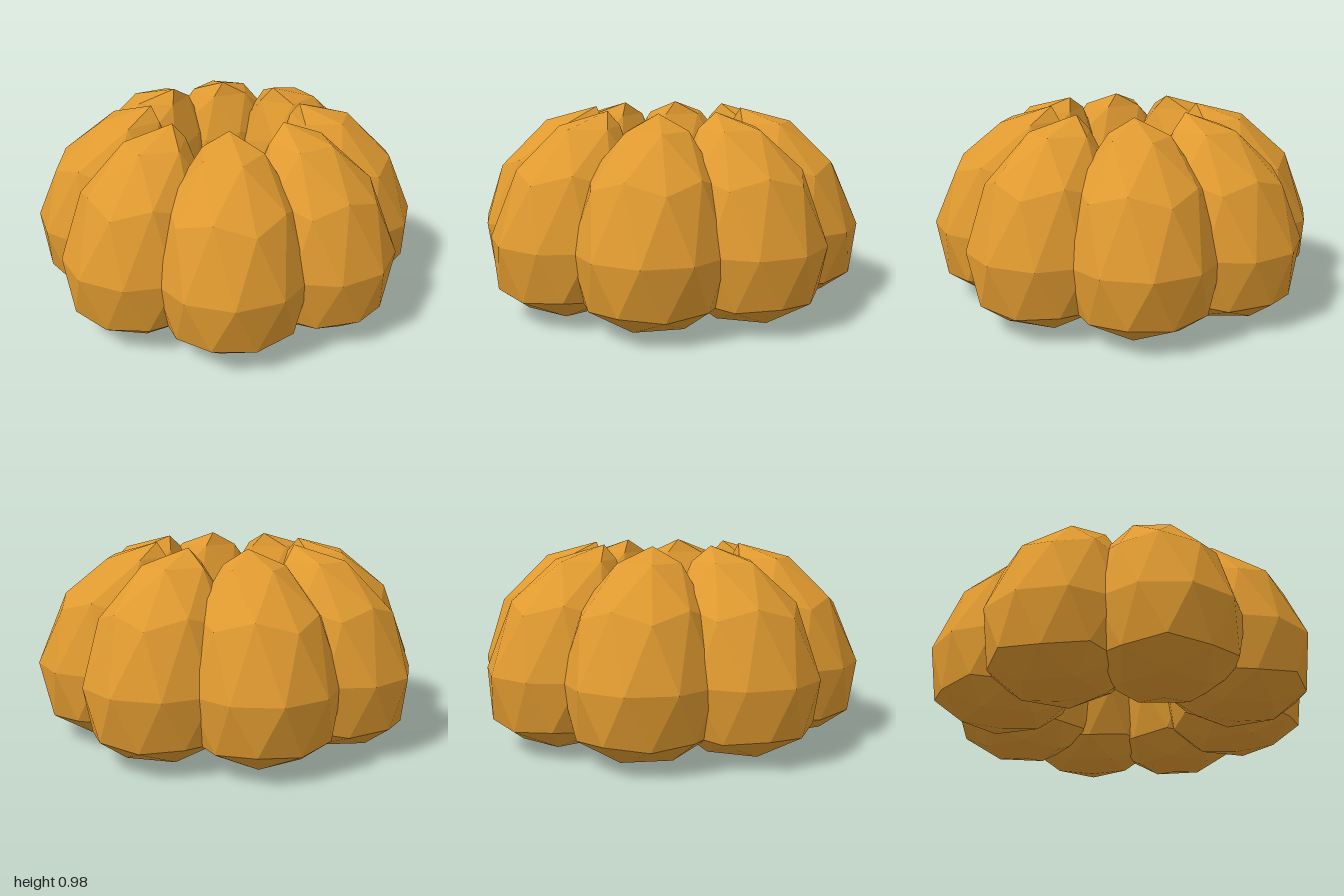
import * as THREE from 'three';

// Height and inward taper of a lobe, keyed by the unit sphere's own height.
const LEVELS = [
  // sphere y, final y, taper
  [-1, 0.0, 1.0],
  [-0.851, 0.04, 1.01],
  [-0.526, 0.13, 1.012],
  [-0.447, 0.15, 1.013],
  [0, 0.385, 1.0],
  [0.447, 0.675, 0.928],
  [0.526, 0.725, 0.912],
  [0.851, 0.915, 0.79],
  [1, 0.985, 0.613],
];

function levelAt(v) {
  let i = 1;
  while (i < LEVELS.length - 1 && v > LEVELS[i][0]) i++;
  const [a, b] = [LEVELS[i - 1], LEVELS[i]];
  const k = THREE.MathUtils.clamp((v - a[0]) / (b[0] - a[0]), 0, 1);
  return [a[1] + (b[1] - a[1]) * k, a[2] + (b[2] - a[2]) * k];
}

// One faceted lobe facing +z: a low-poly sphere, flattened below and
// drawn in towards the central axis above.
function lobeGeometry() {
  const radius = 0.38, ringRadius = 0.62;
  const geo = new THREE.IcosahedronGeometry(1, 1);
  geo.rotateX(-Math.atan((1 + Math.sqrt(5)) / 2)); // a corner points straight up
  geo.rotateY(Math.PI / 2);
  const p = geo.attributes.position;
  for (let i = 0; i < p.count; i++) {
    const [y, taper] = levelAt(p.getY(i));
    p.setXYZ(i, p.getX(i) * radius * taper, y, (ringRadius + p.getZ(i) * radius) * taper);
  }
  geo.computeVertexNormals();
  return geo;
}

export function createModel() {
  const model = new THREE.Group();
  model.name = 'pumpkin';
  const skin = new THREE.MeshStandardMaterial({ color: 0xe09a30 });
  skin.name = 'orange skin';
  skin.flatShading = true;

  // Eight lobes around the open centre
  const geo = lobeGeometry();
  for (let i = 0; i < 8; i++) {
    const lobe = new THREE.Mesh(geo, skin);
    lobe.name = `lobe${i + 1}`;
    lobe.rotation.y = (i * Math.PI) / 4;
    model.add(lobe);
  }
  return model;
}
